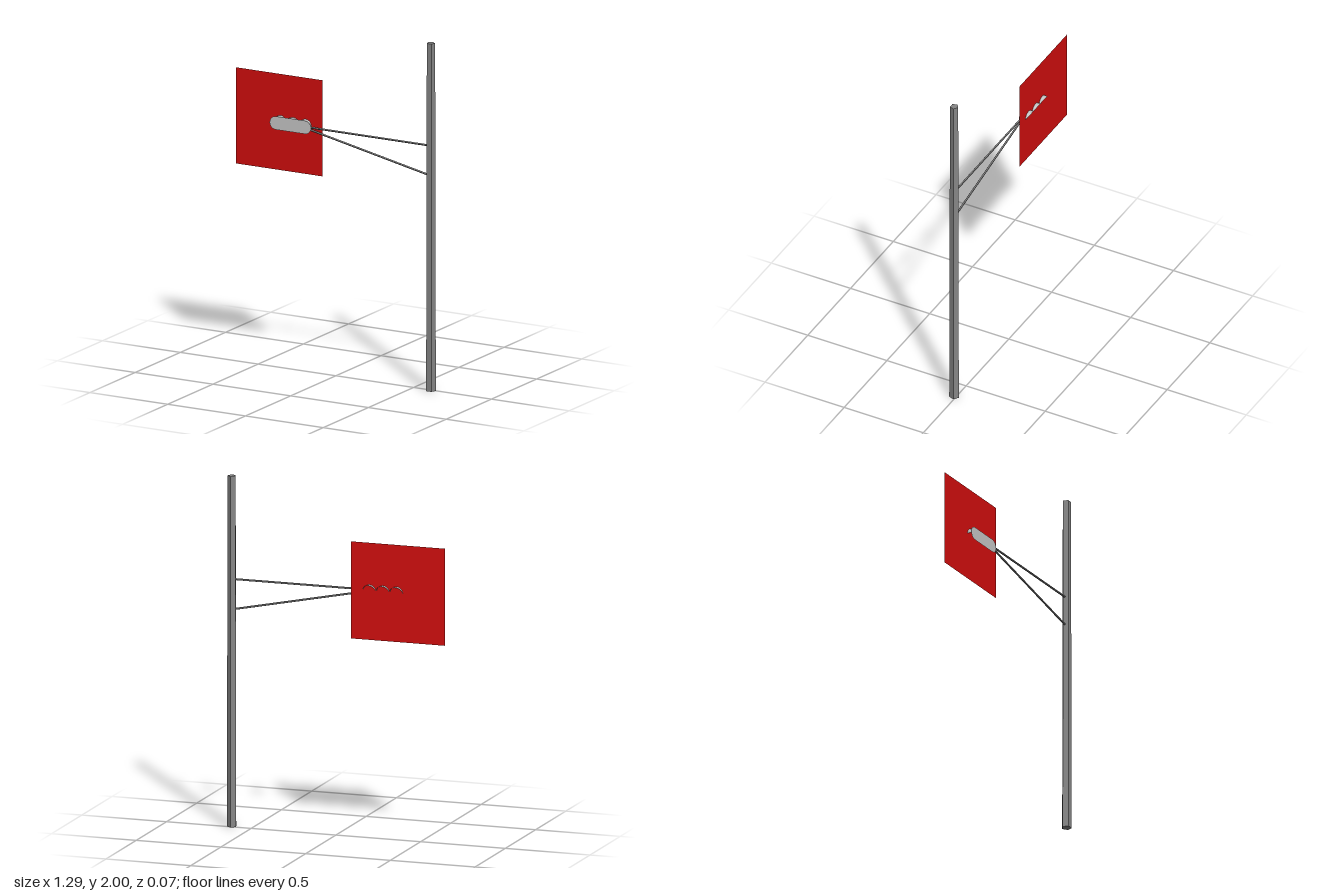
import * as THREE from 'three';

const material = (name, color, extra = {}) => {
  const m = new THREE.MeshStandardMaterial({ color, ...extra });
  m.name = name;
  return m;
};

export function createModel() {
  const group = new THREE.Group();
  const steel = material('steel grey', 0x868686, { flatShading: true });
  const casing = material('light grey', 0xc8c8c8, { side: THREE.DoubleSide });
  const red = material('red', 0xd40e0e, { side: THREE.DoubleSide });

  const add = (name, geometry, mat, x = 0, y = 0, z = 0) => {
    const mesh = new THREE.Mesh(geometry, mat);
    mesh.name = name;
    mesh.position.set(x, y, z);
    group.add(mesh);
    return mesh;
  };

  // Tapered five-sided pole, one corner pointing to the back
  add('pole', new THREE.CylinderGeometry(0.0245, 0.0285, 2, 5), steel, 0.617, 1, 0.011)
    .rotation.y = Math.PI;

  // Two thin rods from the pole to the signal
  const rod = (name, x0, y0, x1, y1) => {
    const a = new THREE.Vector3(x0, y0, 0.011);
    const b = new THREE.Vector3(x1, y1, 0.011);
    const d = b.clone().sub(a);
    const mesh = add(name, new THREE.CylinderGeometry(0.006, 0.006, d.length(), 5), steel);
    mesh.position.copy(a).add(b).multiplyScalar(0.5);
    mesh.quaternion.setFromUnitVectors(new THREE.Vector3(0, 1, 0), d.normalize());
  };
  rod('upperRod', 0.617, 1.41, -0.165, 1.41);
  rod('lowerRod', 0.617, 1.237, -0.165, 1.398);

  // Large square board behind the signal
  add('backBoard', new THREE.PlaneGeometry(0.555, 0.553), red, -0.3725, 1.4075, -0.015);

  // Flat housing plate with rounded ends
  const r = 0.038, half = 0.095;
  const outline = new THREE.Shape();
  outline.absarc(half, 0, r, -Math.PI / 2, Math.PI / 2);
  outline.absarc(-half, 0, r, Math.PI / 2, Math.PI * 1.5);
  add('housing', new THREE.ShapeGeometry(outline, 5), casing, -0.2825, 1.408, 0.018);

  // Half-round visors, cut at a slant so that the top reaches furthest back
  for (const x of [-0.363, -0.283, -0.203]) {
    const visor = new THREE.CylinderGeometry(0.0375, 0.0375, 1, 14, 1, true, 0, Math.PI);
    const p = visor.attributes.position;
    for (let i = 0; i < p.count; i++) {
      const up = p.getX(i), side = p.getZ(i);
      const z = p.getY(i) > 0 ? 0.018 : -0.015 - 0.025 * (up / 0.0375);
      p.setXYZ(i, side, up, z);
    }
    visor.computeVertexNormals();
    add('visor', visor, casing, x, 1.408, 0);
  }

  return group;
}
